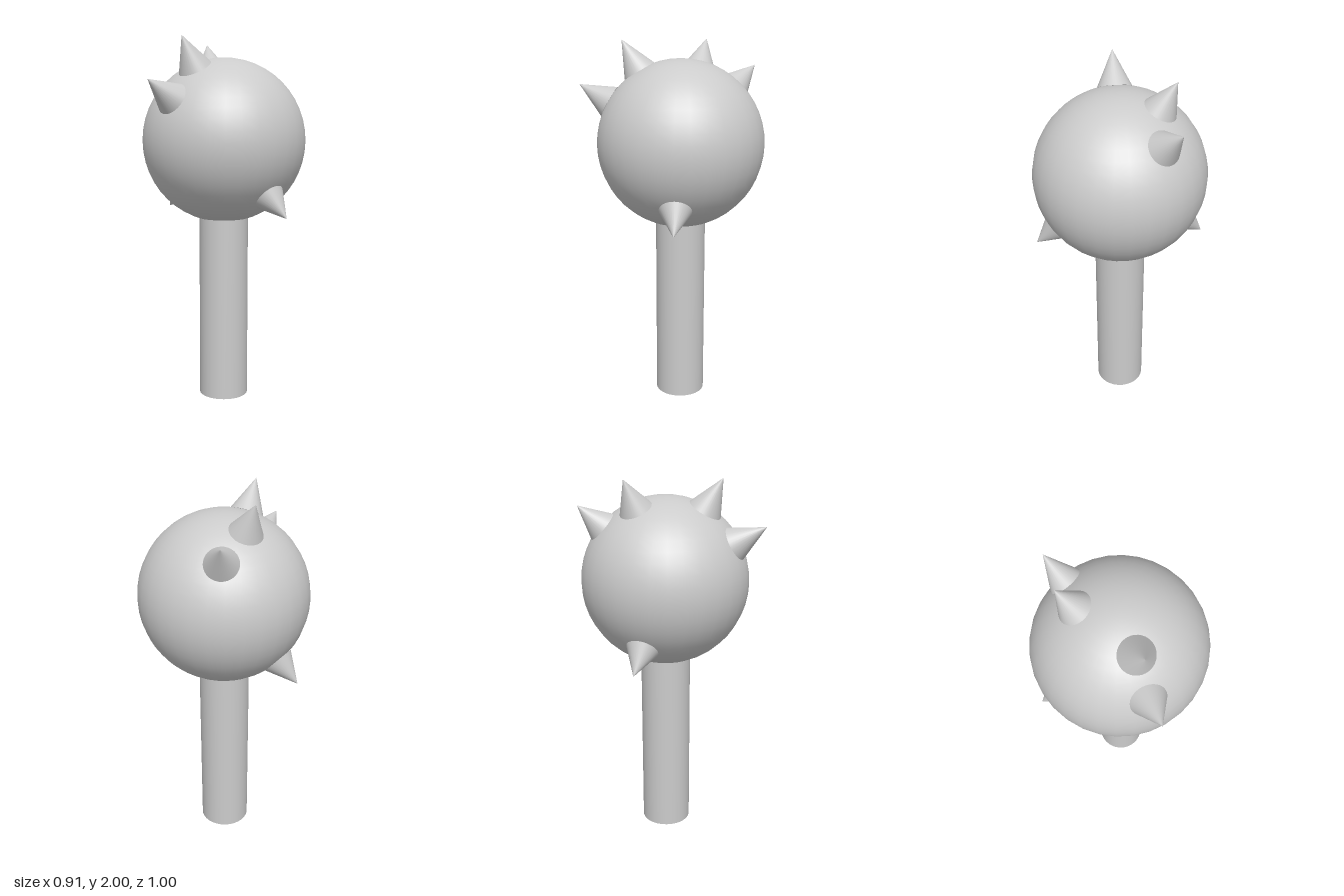
import * as THREE from 'three';

const CENTRE = new THREE.Vector3(0, 1.4525, -0.0475);
const RADIUS = 0.4525;

export function createModel() {
  const model = new THREE.Group();
  model.name = 'spikedMace';
  const material = new THREE.MeshStandardMaterial({ color: 0xcccccc });

  const add = (name, geometry, position) => {
    const mesh = new THREE.Mesh(geometry, material);
    mesh.name = name;
    mesh.position.copy(position);
    model.add(mesh);
    return mesh;
  };

  // Handle, running up into the head
  const handleHeight = 1.08;
  add('handle', new THREE.CylinderGeometry(0.137, 0.137, handleHeight, 32),
    new THREE.Vector3(0, handleHeight / 2, CENTRE.z));

  // Round head
  add('head', new THREE.SphereGeometry(RADIUS, 32, 24), CENTRE);

  // Spikes point straight out of the head; each is given by its tip and base radius
  const addSpike = (name, x, y, z, radius) => {
    const tip = new THREE.Vector3(x, y, z).sub(CENTRE);
    const direction = tip.clone().normalize();
    const baseDistance = Math.sqrt(RADIUS ** 2 - radius ** 2); // rim sits on the surface
    const height = tip.length() - baseDistance;
    const position = direction.clone().multiplyScalar(baseDistance + height / 2).add(CENTRE);
    const spike = add(name, new THREE.ConeGeometry(radius, height, 32), position);
    spike.quaternion.setFromUnitVectors(new THREE.Vector3(0, 1, 0), direction);
  };

  addSpike('frontSpike', 0, 1.767, 0.5, 0.091);
  addSpike('topFrontSpike', 0, 2, 0.267, 0.091);
  addSpike('topRightSpike', -0.255, 2, -0.17, 0.087);
  addSpike('backRightSpike', -0.235, 1.86, -0.44, 0.087);
  for (const side of [1, -1]) {
    addSpike(side > 0 ? 'lowerLeftSpike' : 'lowerRightSpike', side * 0.455, 1.055, CENTRE.z, 0.086);
  }

  return model;
}
